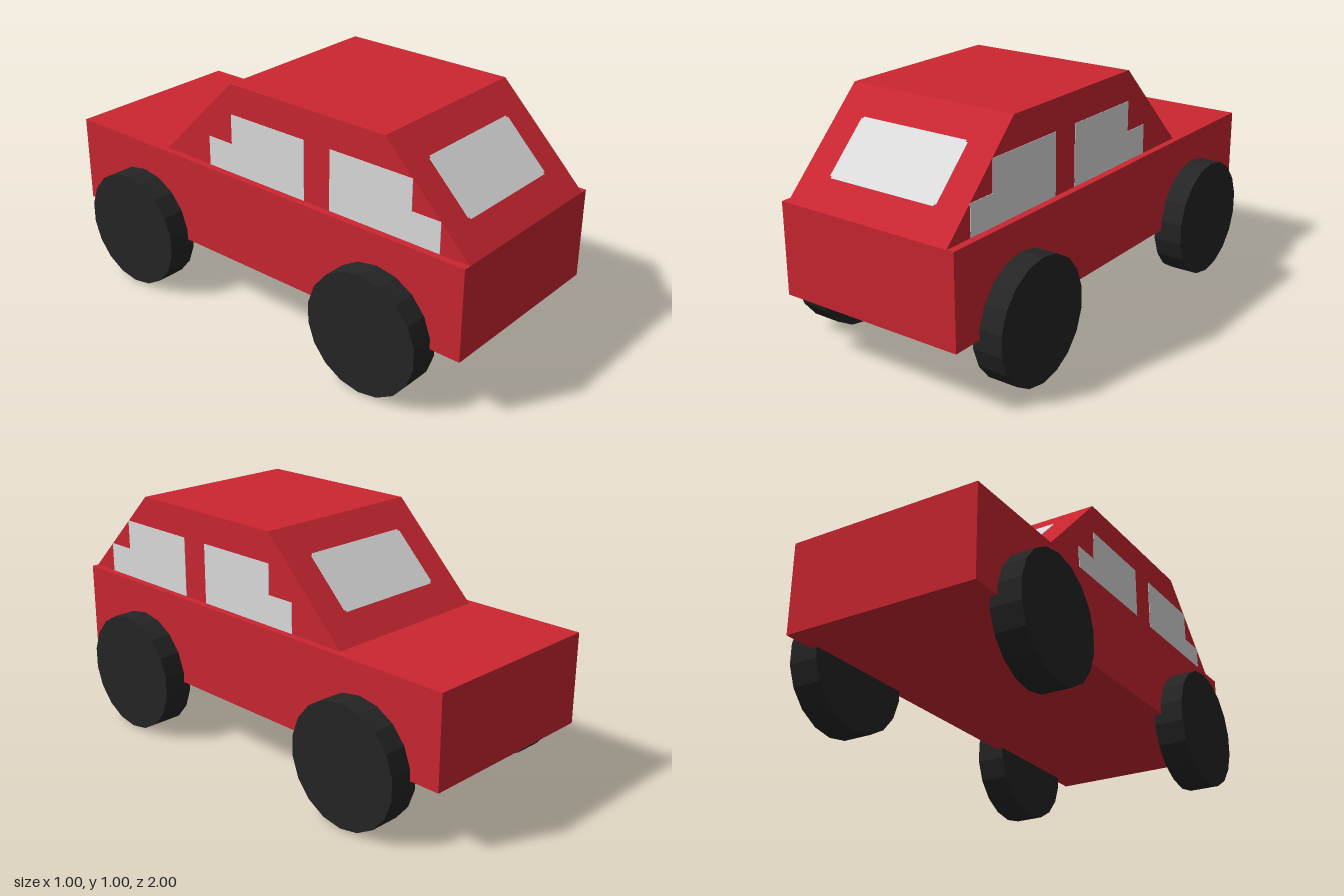
import * as THREE from 'three';

const paint = new THREE.MeshStandardMaterial({ color: 0xcb2631 });
paint.name = 'red paint';
const glass = new THREE.MeshStandardMaterial({ color: 0xdddddd });
glass.name = 'pale glass';
const rubber = new THREE.MeshStandardMaterial({ color: 0x252525 });
rubber.name = 'black rubber';

function extrude(points, depth) {
  const shape = new THREE.Shape(points.map(([a, b]) => new THREE.Vector2(a, b)));
  return new THREE.ExtrudeGeometry(shape, { depth, bevelEnabled: false });
}

// Side profile given as (z, y), centred across the car and extruded along x
function sideProfile(points, width) {
  return extrude(points, width).translate(0, 0, -width / 2).rotateY(-Math.PI / 2);
}

export function createModel() {
  const car = new THREE.Group();
  car.name = 'car';
  const add = (name, geometry, material, x = 0, y = 0, z = 0) => {
    const mesh = new THREE.Mesh(geometry, material);
    mesh.name = name;
    mesh.position.set(x, y, z);
    car.add(mesh);
    return mesh;
  };

  // Lower body and cabin
  add('body', new THREE.BoxGeometry(0.81, 0.375, 2), paint, 0, 0.4375, 0);
  add('cabin', sideProfile([[1, 0.625], [0.625, 1], [-0.125, 1], [-0.5, 0.625]], 0.75), paint);

  // Stepped side windows, one pair on each side
  const frontWindow = sideProfile([[0.875, 0.626], [0.875, 0.75], [0.75, 0.75],
    [0.75, 0.875], [0.375, 0.875], [0.375, 0.626]], 0.004);
  const rearWindow = sideProfile([[0.25, 0.626], [0.25, 0.875], [-0.125, 0.875],
    [-0.125, 0.75], [-0.25, 0.75], [-0.25, 0.626]], 0.004);

  // Faceted wheels with a vertex at the top
  const wheel = new THREE.CylinderGeometry(0.25, 0.25, 0.125, 18, 1, false, Math.PI / 2)
    .rotateZ(Math.PI / 2).toNonIndexed();
  wheel.computeVertexNormals();

  for (const [side, s] of [['left', 1], ['right', -1]]) {
    add(side + 'FrontWindow', frontWindow, glass, s * 0.375);
    add(side + 'RearWindow', rearWindow, glass, s * 0.375);
    add(side + 'FrontWheel', wheel, rubber, s * 0.4375, 0.25, 0.625);
    add(side + 'RearWheel', wheel, rubber, s * 0.4375, 0.25, -0.625);
  }

  // Sloped windscreens with small notched corners
  const w = 0.25, h = 0.132, n = 0.008;
  const screen = extrude([
    [-w + n, -h], [w - n, -h], [w - n, -h + n], [w, -h + n],
    [w, h - n], [w - n, h - n], [w - n, h], [-w + n, h],
    [-w + n, h - n], [-w, h - n], [-w, -h + n], [-w + n, -h + n],
  ], 0.004).translate(0, 0, -0.002);
  for (const [name, z, turn] of [['windscreen', 0.8125, 0], ['rearScreen', -0.3125, Math.PI]]) {
    add(name, screen, glass, 0, 0.8125, z).rotation.set(-Math.PI / 4, turn, 0, 'YXZ');
  }

  return car;
}
